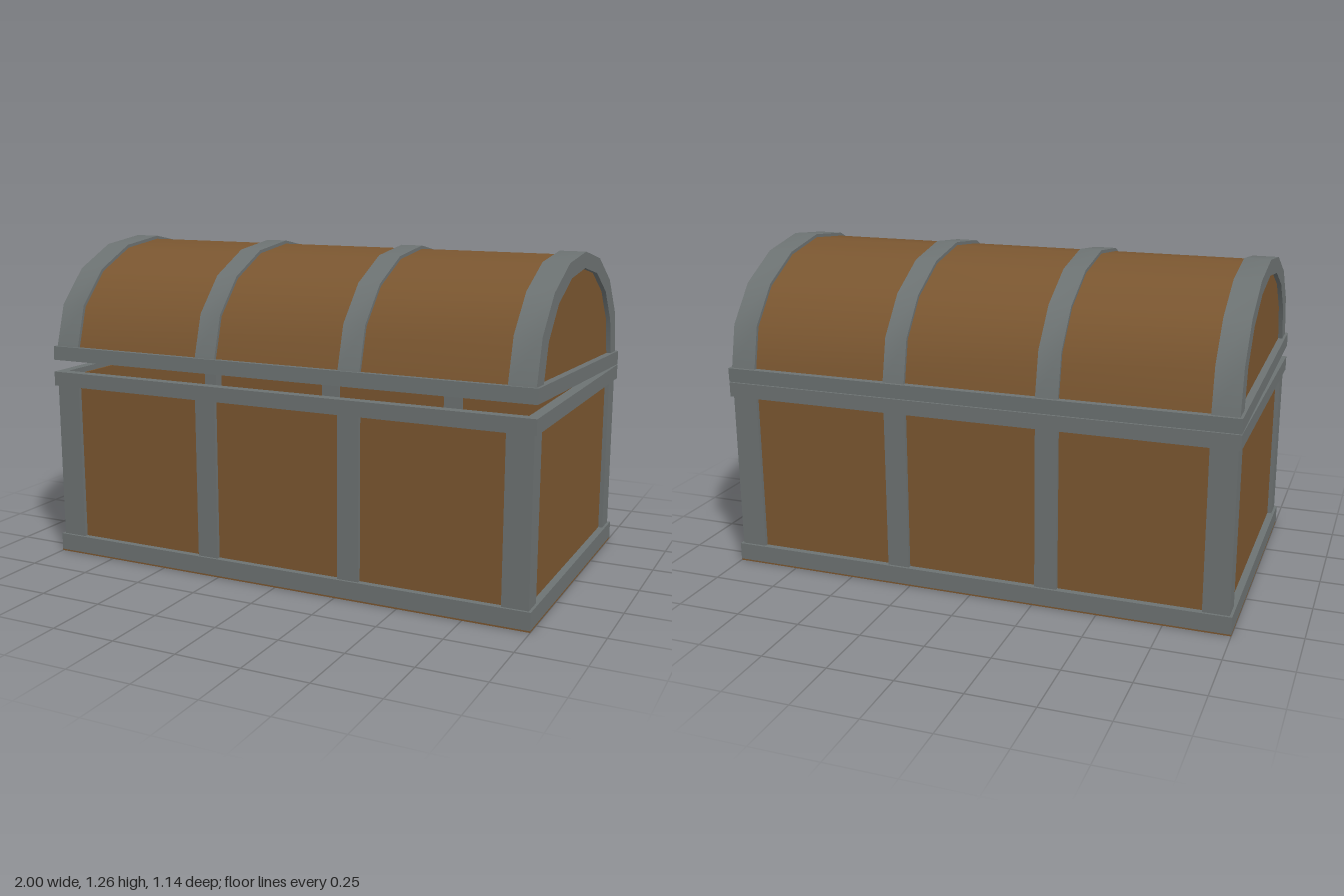
import * as THREE from 'three';
import { toCreasedNormals } from 'three/addons/utils/BufferGeometryUtils.js';

const wood = new THREE.MeshStandardMaterial({ color: 0x7a5630 });
wood.name = 'brown wood';
const iron = new THREE.MeshStandardMaterial({ color: 0x6c7272 });
iron.name = 'grey iron';

const HALF_X = 1, HALF_Z = 0.57, RIM = 0.04;
const MID_BANDS = [-0.3, 0.3];

function add(parent, name, geometry, material, x = 0, y = 0, z = 0) {
  const mesh = new THREE.Mesh(geometry, material);
  mesh.name = name;
  mesh.position.set(x, y, z);
  parent.add(mesh);
  return mesh;
}

const box = (w, h, d) => new THREE.BoxGeometry(w, h, d);

const rectangle = (hx, hz) => [[-hx, -hz], [hx, -hz], [hx, hz], [-hx, hz]]
  .map(([x, z]) => new THREE.Vector2(x, z));

// Hollow rectangular frame standing on its local y = 0
function frame(hx, hz, thickness, height) {
  const shape = new THREE.Shape(rectangle(hx, hz));
  shape.holes.push(new THREE.Path(rectangle(hx - thickness, hz - thickness)));
  return new THREE.ExtrudeGeometry(shape, { depth: height, bevelEnabled: false })
    .rotateX(-Math.PI / 2);
}

// Eight-sided half ellipse
function halfEllipse(rz, ry) {
  return Array.from({ length: 9 }, (_, i) => {
    const a = (i / 8) * Math.PI;
    return new THREE.Vector2(Math.cos(a) * rz, Math.sin(a) * ry);
  });
}

// Arch extruded along x; without an inner radius it is a solid half disc
function arch(rz, ry, width, innerZ = 0, innerY = 0) {
  const points = halfEllipse(rz, ry);
  if (innerZ) points.push(...halfEllipse(innerZ, innerY).reverse());
  const geometry = new THREE.ExtrudeGeometry(new THREE.Shape(points), { depth: width, bevelEnabled: false })
    .translate(0, 0, -width / 2)
    .rotateY(Math.PI / 2);
  return toCreasedNormals(geometry, 0.6);
}

function createBody() {
  const body = new THREE.Group();
  body.name = 'body';

  // Wooden walls and floor
  add(body, 'bottomBoard', box(2 * HALF_X, 0.006, 2 * HALF_Z), wood, 0, 0.003, 0);
  add(body, 'floor', box(1.92, 0.034, 1.06), wood, 0, 0.023, 0);
  add(body, 'walls', frame(0.973, 0.545, 0.02, 0.71), wood, 0, 0.02, 0);

  // Iron rims
  add(body, 'bottomRim', frame(HALF_X, HALF_Z, RIM, 0.067), iron, 0, 0.006, 0);
  add(body, 'topRim', frame(HALF_X, HALF_Z, RIM, 0.057), iron, 0, 0.695, 0);

  // Corner posts and middle straps
  for (const side of [-1, 1]) {
    for (const x of [-0.94, 0.94]) {
      add(body, 'cornerPost', box(0.1, 0.66, 0.085), iron, x, 0.38, side * 0.5175);
    }
    for (const x of MID_BANDS) {
      add(body, 'wallStrap', box(0.086, 0.66, 0.045), iron, x, 0.38, side * 0.5375);
    }
  }
  return body;
}

function createLid() {
  // Hinge at the upper back edge, lid slightly open
  const lid = new THREE.Group();
  lid.name = 'lid';
  lid.position.set(0, 0.755, -HALF_Z);
  lid.rotation.x = -0.0395;

  const base = 0.055;
  add(lid, 'lidRim', frame(HALF_X, HALF_Z, RIM, base), iron, 0, 0, HALF_Z);
  add(lid, 'lidShell', arch(0.545, 0.415, 1.9, 0.525, 0.395), wood, 0, base, HALF_Z);

  for (const x of MID_BANDS) {
    add(lid, 'lidStrap', arch(0.558, 0.428, 0.086, 0.515, 0.385), iron, x, base, HALF_Z);
  }
  for (const side of [-1, 1]) {
    add(lid, 'lidEndPanel', arch(0.54, 0.41, 0.03), wood, side * 0.958, base, HALF_Z);
    add(lid, 'lidEndBand', arch(0.558, 0.428, 0.1, 0.475, 0.368), iron, side * 0.94, base, HALF_Z);
  }
  return lid;
}

export function createModel() {
  const chest = new THREE.Group();
  chest.name = 'chest';
  chest.add(createBody(), createLid());
  return chest;
}
